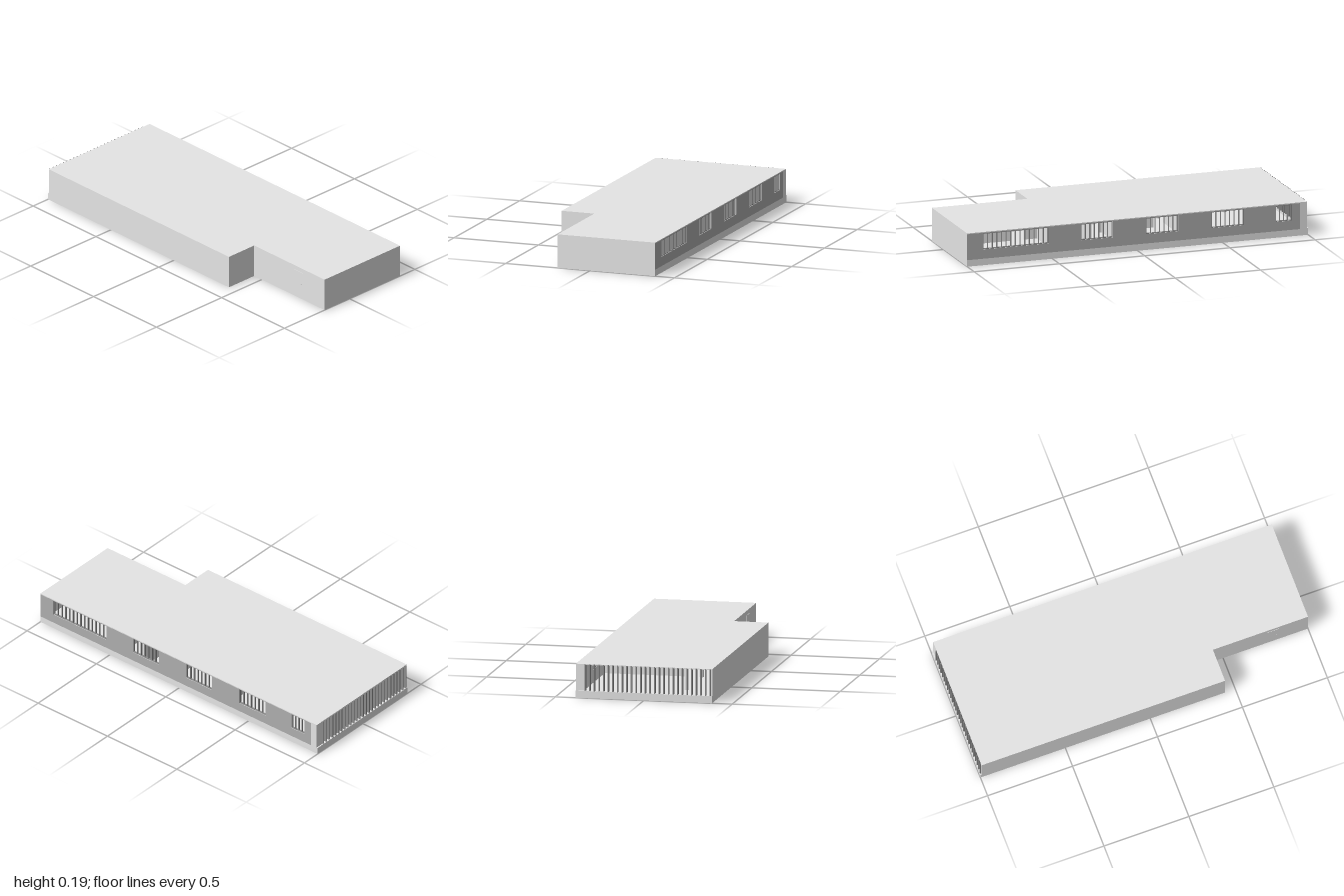
import * as THREE from 'three';

const mat = (name, color) => {
  const m = new THREE.MeshStandardMaterial({ color });
  m.name = name;
  return m;
};

export function createModel() {
  const wall = mat('light grey wall', 0xe5e5e5);
  const panel = mat('mid grey panel', 0xaeaeae);
  const metal = mat('grey metal', 0x8c8c8c);
  const model = new THREE.Group();
  model.name = 'building';

  const add = (name, geometry, material, parent = model) => {
    const mesh = new THREE.Mesh(geometry, material);
    mesh.name = name;
    parent.add(mesh);
  };
  // Box given by its limits on each axis
  const box = (name, m, x0, x1, y0, y1, z0, z1, parent) => {
    const g = new THREE.BoxGeometry(x1 - x0, y1 - y0, z1 - z0);
    g.translate((x0 + x1) / 2, (y0 + y1) / 2, (z0 + z1) / 2);
    add(name, g, m, parent);
  };
  const rect = (x0, x1, y0, y1, Type) =>
    new Type([[x0, y0], [x1, y0], [x1, y1], [x0, y1]].map(p => new THREE.Vector2(...p)));
  // Upright wall across z0..z1 with rectangular openings
  const holedWall = (name, m, [x0, x1, y0, y1], openings, z0, z1) => {
    const shape = rect(x0, x1, y0, y1, THREE.Shape);
    for (const o of openings) shape.holes.push(rect(...o, THREE.Path));
    add(name, new THREE.ExtrudeGeometry(shape, { depth: z1 - z0, bevelEnabled: false })
      .translate(0, 0, z0), m);
  };

  const T = 0.012, ROOF = 0.185, TOP = 0.19, Z = 0.386, NX = 0.44, NZ = 0.192, W = -0.993;
  const SKIN = -Z + 0.002, BACK = -Z + 0.016;

  // L-shaped slab for roof and floor
  const slab = (name, y0, y1, inset, x0) => {
    const pts = [[x0, -Z + inset], [1 - inset, -Z + inset], [1 - inset, NZ - inset],
      [NX - inset, NZ - inset], [NX - inset, Z - inset], [x0, Z - inset]];
    const shape = new THREE.Shape(pts.map(([x, z]) => new THREE.Vector2(x, -z)));
    const g = new THREE.ExtrudeGeometry(shape, { depth: y1 - y0, bevelEnabled: false });
    g.rotateX(-Math.PI / 2).translate(0, y0, 0);
    add(name, g, wall);
  };
  slab('roof', ROOF, TOP, 0, W);
  slab('floor', 0.01, 0.015, 0.006, -0.992);

  // Solid outer walls
  box('frontWall', wall, W, NX, 0, ROOF, Z - T, Z);
  box('notchSideWall', wall, NX - T, NX, 0, ROOF, NZ - T, Z - T);
  box('leftEndWall', wall, 1 - T, 1, 0, ROOF, BACK, NZ - T);

  // Entrance wall, door leaf and knob
  const doorway = [0.759, 0.829, 0.014, 0.164];
  holedWall('entranceWall', wall, [NX, 1, 0, ROOF], [doorway], NZ - T, NZ);
  const door = new THREE.Group();
  door.name = 'door';
  model.add(door);
  box('doorLeaf', wall, ...doorway, NZ - 0.008, NZ + 0.002, door);
  add('doorKnob', new THREE.SphereGeometry(0.002, 12, 8).translate(0.815, 0.09, NZ + 0.003), wall, door);

  // Back wall with a thin facing: base strip, corner post and darker panel
  const sill = 0.09, head = 0.182;
  const windows = [[0.522, 0.907], [0.145, 0.333], [-0.238, -0.05], [-0.624, -0.433], [-0.906, -0.81]]
    .map(([a, b]) => [a, b, sill, head]);
  holedWall('backWall', wall, [W, 1, 0, ROOF], windows, SKIN, BACK);
  holedWall('backPanel', panel, [-0.952, 1, 0.037, ROOF], windows, -Z, SKIN);
  box('backBase', wall, W, 1, 0, 0.037, -Z, SKIN);
  box('backCornerPost', wall, W, -0.952, 0.037, ROOF, -Z, SKIN);

  // Window frames and upright bars
  for (const [a, b] of windows) {
    const g = new THREE.Group();
    g.name = 'barredWindow';
    model.add(g);
    const f = 0.004, z0 = -Z + 0.004, z1 = -Z + 0.014;
    box('windowSill', metal, a, b, sill, sill + f, z0, z1, g);
    box('windowHead', metal, a, b, head - f, head, z0, z1, g);
    const n = Math.round((b - a) / 0.027);
    for (let i = 0; i <= n; i++) {
      const x = a + f / 2 + (b - a - f) * i / n;
      box('windowBar', metal, x - f / 2, x + f / 2, sill + f, head - f, z0, z1, g);
    }
  }

  // Right end: low base, corner return and a row of upright fins
  box('rightEndBase', wall, -1, -0.992, 0, 0.04, -Z, Z);
  box('rightCornerReturn', wall, W, W + T, 0.04, ROOF, BACK, -0.338);
  const fins = new THREE.Group();
  fins.name = 'endFins';
  model.add(fins);
  for (let i = 0; i < 28; i++) {
    const z = -0.333 + i * 0.0262;
    box('fin', metal, -0.999, -0.978, 0.04, 0.1895, z - 0.003, z + 0.003, fins);
  }

  // Inner partitions with door gaps
  const P = 0.004;
  for (const [a, b] of [[0.605, 0.988], [0.44, 0.53], [0.27, 0.346], [-0.23, 0.09]])
    box('longPartition', wall, a, b, 0.008, ROOF, -P, P);
  for (const [x, a, b] of [[0.45, BACK, -P], [0.27, BACK, -P], [0.07, BACK, -P],
    [-0.32, BACK, 0.08], [-0.32, 0.27, 0.374]])
    box('crossPartition', wall, x - P, x + P, 0.008, ROOF, a, b);

  // Round columns
  for (const x of [0.06, -0.32, -0.71])
    add('column', new THREE.CylinderGeometry(0.012, 0.012, ROOF - 0.002, 20)
      .translate(x, (ROOF + 0.002) / 2, 0.177), wall);

  return model;
}
